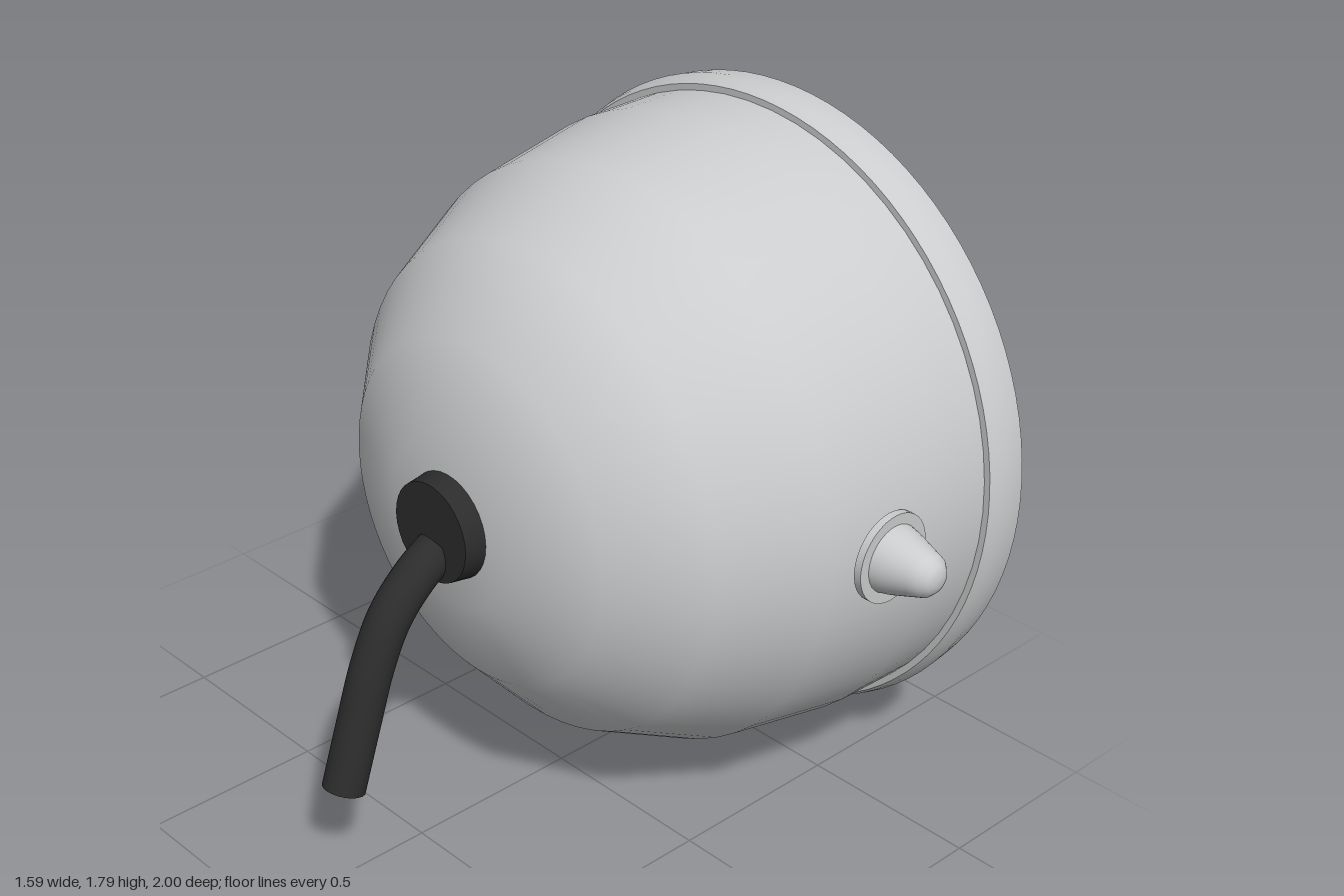
import * as THREE from 'three';
import { toCreasedNormals, mergeVertices } from 'three/addons/utils/BufferGeometryUtils.js';

const AXIS_Y = 0.9;

const material = (name, color) => {
  const m = new THREE.MeshStandardMaterial({ color, side: THREE.DoubleSide });
  m.name = name;
  return m;
};

// Lathe from [radius, distance along axis] pairs, turned about the y axis
const lathe = (pairs, segments) =>
  new THREE.LatheGeometry(pairs.map(([r, t]) => new THREE.Vector2(r, t)), segments);

const smoothstep = THREE.MathUtils.smoothstep;

// Fluted glass: upright ribs in the middle band, a bumpy grid above and below
function lensGeometry(radius, edge, centre) {
  const geometry = new THREE.RingGeometry(0.0005, radius, 144, 64);
  const p = geometry.attributes.position;
  for (let i = 0; i < p.count; i++) {
    const u = p.getX(i), v = p.getY(i);
    const r = Math.hypot(u, v) / radius;
    const fade = 1 - smoothstep(r, 0.82, 0.97);
    const outer = smoothstep(Math.abs(v), 0.285, 0.315);
    const across = Math.cos(u * Math.PI * 2 / 0.092);
    const down = Math.cos(v * Math.PI * 2 / 0.088);
    const ripple = (1 - outer) * 0.004 * across + outer * (0.0035 * down + 0.002 * across);
    p.setZ(i, edge + (centre - edge) * (1 - r * r) + ripple * fade);
  }
  geometry.deleteAttribute('uv');
  geometry.deleteAttribute('normal');
  const welded = mergeVertices(geometry, 1e-5);
  welded.computeVertexNormals();
  return welded.rotateY(Math.PI / 2);
}

export function createModel() {
  const model = new THREE.Group();
  model.name = 'headlamp';
  const metal = material('grey metal', 0xcacccd);
  const glass = material('lens glass', 0xc8c9ca);
  const rubber = material('black rubber', 0x2c2c2c);

  const add = (name, geometry, mat, parent = model) => {
    const mesh = new THREE.Mesh(geometry, mat);
    mesh.name = name;
    parent.add(mesh);
    return mesh;
  };
  // Parts turned about the lamp axis, which runs along +x
  const addTurned = (name, geometry, mat) => {
    const mesh = add(name, geometry.rotateZ(-Math.PI / 2), mat);
    mesh.position.y = AXIS_Y;
    return mesh;
  };

  // Bowl-shaped housing
  addTurned('housing', lathe([
    [0, -0.385], [0.225, -0.38], [0.467, -0.298], [0.667, -0.115],
    [0.8, 0.15], [0.855, 0.46], [0.86, 0.66],
  ], 64), metal);

  // Bezel ring around the lens
  addTurned('bezel', toCreasedNormals(lathe([
    [0.855, 0.65], [0.877, 0.65], [0.887, 0.67], [0.895, 0.70], [0.888, 0.765],
    [0.86, 0.79], [0.805, 0.785], [0.785, 0.755], [0.77, 0.72],
  ], 96), 0.6), metal);

  // Lens
  add('lens', lensGeometry(0.775, 0.735, 0.79), glass).position.y = AXIS_Y;

  // Cable grommet at the back
  addTurned('grommet', toCreasedNormals(lathe([
    [0, -0.44], [0.135, -0.44], [0.145, -0.37], [0, -0.37],
  ], 32), 0.6), rubber);

  // Drooping cable with closed ends
  const path = new THREE.CatmullRomCurve3([
    [-0.42, 0.845], [-0.49, 0.80], [-0.575, 0.715], [-0.635, 0.60], [-0.69, 0.44], [-0.745, 0.272],
  ].map(([x, y]) => new THREE.Vector3(x, y, 0)));
  const cable = new THREE.Group();
  cable.name = 'cable';
  model.add(cable);
  add('cableSleeve', new THREE.TubeGeometry(path, 32, 0.057, 20), rubber, cable);
  for (const [name, t, sign] of [['cableStart', 0, -1], ['cableEnd', 1, 1]]) {
    const cap = add(name, new THREE.CircleGeometry(0.057, 20), rubber, cable);
    cap.position.copy(path.getPoint(t));
    cap.quaternion.setFromUnitVectors(
      new THREE.Vector3(0, 0, 1), path.getTangent(t).multiplyScalar(sign));
  }

  // Mounting studs with washers, one on each side
  for (const side of [1, -1]) {
    const mount = new THREE.Group();
    mount.name = side > 0 ? 'leftMount' : 'rightMount';
    mount.position.set(0.313, AXIS_Y, 0);
    mount.rotation.x = side * Math.PI / 2;
    model.add(mount);
    add('washer', toCreasedNormals(lathe([
      [0, 0.834], [0.12, 0.834], [0.12, 0.855], [0, 0.855],
    ], 40), 0.6), metal, mount);
    add('stud', lathe([
      [0.092, 0.85], [0.084, 0.885], [0.064, 0.945], [0.054, 0.975],
      [0.036, 0.993], [0.018, 0.999], [0, 1.0],
    ], 32), metal, mount);
  }
  return model;
}
